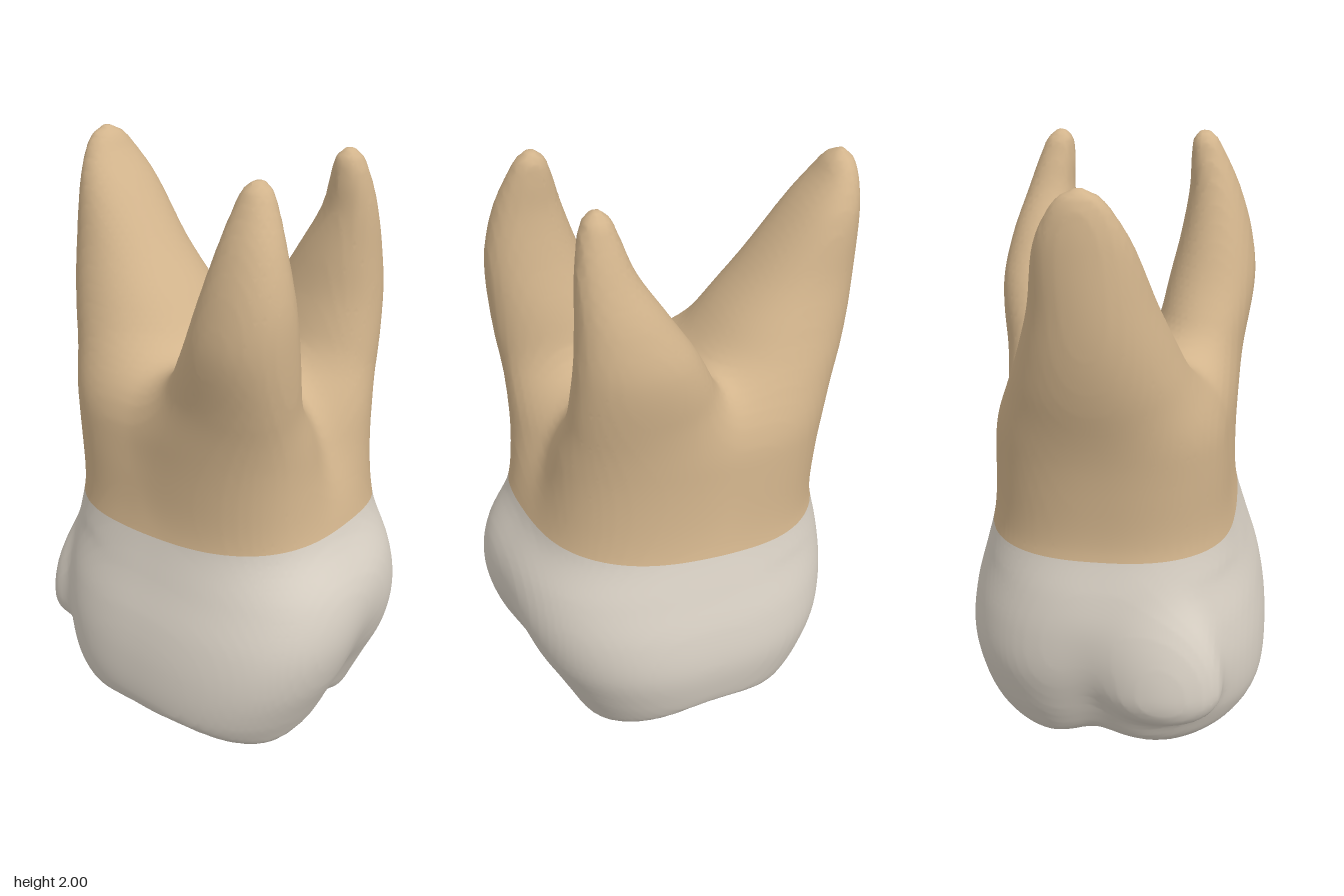
import * as THREE from 'three';

// Blending helpers for the solid field (negative = inside)
const smin = (a, b, k) => { const h = Math.max(k - Math.abs(a - b), 0) / k; return Math.min(a, b) - h * h * k / 4; };
const smax = (a, b, k) => -smin(-a, -b, k);
const gauss = (v, w) => Math.exp(-(v * v) / (w * w));
const rise = (a, b, v) => THREE.MathUtils.smoothstep(v, a, b);

// Cross-section extents by height: [y, xMin, xMax, zMin, zMax]
const BODY = [
  [0, -0.43, 0.41, -0.39, 0.45], [0.1, -0.48, 0.46, -0.44, 0.49], [0.2, -0.515, 0.495, -0.485, 0.535],
  [0.35, -0.515, 0.52, -0.53, 0.6], [0.5, -0.488, 0.505, -0.54, 0.63], [0.65, -0.44, 0.465, -0.525, 0.612],
  [0.82, -0.395, 0.42, -0.49, 0.535], [1.0, -0.375, 0.395, -0.485, 0.495], [1.3, -0.35, 0.37, -0.48, 0.45],
];
const ROOTS = [
  [[0.8, -0.32, 0, -0.05, 0.42], [1.1, -0.37, -0.02, -0.05, 0.465], [1.3, -0.4, -0.085, 0.03, 0.497],
    [1.5, -0.427, -0.13, 0.14, 0.51], [1.65, -0.41, -0.165, 0.2, 0.505], [1.8, -0.365, -0.19, 0.25, 0.47],
    [1.92, -0.31, -0.195, 0.285, 0.42], [1.98, -0.275, -0.205, 0.31, 0.385], [2.0, -0.245, -0.235, 0.345, 0.355]],
  [[0.8, 0, 0.34, -0.12, 0.4], [1.1, 0.02, 0.38, -0.12, 0.42], [1.3, 0.095, 0.415, -0.08, 0.42],
    [1.5, 0.155, 0.435, 0.01, 0.405], [1.65, 0.18, 0.41, 0.105, 0.395], [1.8, 0.2, 0.36, 0.2, 0.385],
    [1.92, 0.2, 0.315, 0.245, 0.365], [1.98, 0.21, 0.285, 0.27, 0.34], [2.0, 0.24, 0.25, 0.3, 0.31]],
  [[0.8, -0.31, 0.33, -0.43, 0], [1.1, -0.32, 0.35, -0.51, 0], [1.3, -0.275, 0.32, -0.58, -0.04],
    [1.45, -0.22, 0.27, -0.615, -0.145], [1.6, -0.165, 0.225, -0.63, -0.265], [1.8, -0.1, 0.19, -0.63, -0.415],
    [1.9, -0.05, 0.145, -0.622, -0.495], [1.95, -0.01, 0.105, -0.608, -0.53], [1.975, 0.035, 0.06, -0.58, -0.565]],
];
// Chewing cusps: [x, tip height, z]
const CUSPS = [[-0.25, 0.03, 0.45], [0.26, -0.01, 0.38], [-0.17, -0.015, -0.25], [0.21, 0.01, -0.3]];

// Smooth interpolation of the extents at one height
function sectionAt(rows, y) {
  const last = rows.length - 1;
  if (y <= rows[0][0]) return rows[0];
  if (y >= rows[last][0]) return rows[last];
  let i = 0;
  while (rows[i + 1][0] < y) i++;
  const a = rows[i], b = rows[i + 1], p = rows[Math.max(i - 1, 0)], q = rows[Math.min(i + 2, last)];
  const d = b[0] - a[0], t = (y - a[0]) / d, t2 = t * t, t3 = t2 * t;
  return a.map((v, c) => {
    const m0 = (b[c] - p[c]) / (b[0] - p[0]) * d, m1 = (q[c] - v) / (q[0] - a[0]) * d;
    return (2 * t3 - 3 * t2 + 1) * v + (t3 - 2 * t2 + t) * m0 + (3 * t2 - 2 * t3) * b[c] + (t3 - t2) * m1;
  });
}

function sectionField([, x0, x1, z0, z1], x, z, n) {
  const rx = Math.max((x1 - x0) / 2, 0.004), rz = Math.max((z1 - z0) / 2, 0.004);
  const u = Math.abs(x - (x0 + x1) / 2) / rx, v = Math.abs(z - (z0 + z1) / 2) / rz;
  return (Math.pow(Math.pow(u, n) + Math.pow(v, n), 1 / n) - 1) * Math.min(rx, rz);
}

// Height of the chewing surface: cusps, rim, and two pits parted by a slanting ridge
function chewingHeight(x, z) {
  let h = 0.135;
  for (const [cx, cy, cz] of CUSPS) {
    const r = Math.hypot(x - cx, z - cz);
    h = smin(h, cy + Math.sqrt(0.2 * r * r + 0.0009) - 0.03, 0.03);
  }
  return h + 0.16 * gauss(x + 0.16, 0.19) * gauss(z - 0.13, 0.24) + 0.11 * gauss(x - 0.24, 0.13) * gauss(z - 0.01, 0.15);
}

// The whole solid; sec holds the body and root sections at height y
function field(x, y, z, sec) {
  const front = rise(0, 0.3, z), back = rise(0, 0.3, -z);
  let d = sectionField(sec[0], x, z + 0.2 * x * Math.max(z, 0), 2.6);
  // Grooves down the crown, and up the trunk between the front roots
  d += 0.04 * gauss(x - 0.06, 0.12) * front * (1 - rise(0.15, 0.65, y));
  d += 0.03 * gauss(x - 0.05, 0.1) * back * (1 - rise(0.15, 0.6, y));
  d += 0.06 * gauss(x - 0.03, 0.13) * front * rise(0.85, 1.25, y);
  // Rounded saddle where the roots part
  d = smax(d, y - 1.31, 0.22);
  ROOTS.forEach((rows, i) => {
    const root = Math.max(sectionField(sec[i + 1], x, z, 2.1), y - rows[rows.length - 1][0], 0.75 - y);
    d = smin(d, root, 0.09);
  });
  // Small extra cusp hanging on the back, drawn out upwards
  const up = y - 0.31;
  const bump = (Math.hypot((x + 0.2) / 0.19, up / (up > 0 ? 0.27 : 0.135), (z + 0.465) / 0.105) - 1) * 0.105;
  d = smin(d, bump, 0.05);
  return smax(d, chewingHeight(x, z) - y, 0.05);
}

// Surface net over a regular grid
function buildSurface() {
  const s = 0.02, min = [-0.64, -0.07, -0.74], n = [65, 108, 75];
  const stride = [1, n[0], n[0] * n[1]];
  const val = new Float32Array(n[0] * n[1] * n[2]);
  for (let j = 0; j < n[1]; j++) {
    const y = min[1] + j * s, sec = [BODY, ...ROOTS].map((rows) => sectionAt(rows, y));
    for (let k = 0; k < n[2]; k++) for (let i = 0; i < n[0]; i++) {
      val[i + j * stride[1] + k * stride[2]] = field(min[0] + i * s, y, min[2] + k * s, sec);
    }
  }
  const ids = new Int32Array(val.length).fill(-1), pos = [], index = [];
  const eachCell = (start, fn) => {
    for (let k = start; k < n[2] - 1; k++) for (let j = start; j < n[1] - 1; j++) for (let i = start; i < n[0] - 1; i++) {
      fn(i + j * stride[1] + k * stride[2], [i, j, k]);
    }
  };
  // One vertex per crossed cell, at the mean of its edge crossings
  eachCell(0, (o, cell) => {
    const sum = [0, 0, 0];
    let count = 0;
    for (let c = 0; c < 8; c++) for (let a = 0; a < 3; a++) {
      if (c & (1 << a)) continue;
      const bits = [c & 1, (c >> 1) & 1, (c >> 2) & 1];
      const p = o + bits[0] + bits[1] * stride[1] + bits[2] * stride[2];
      const v0 = val[p], v1 = val[p + stride[a]];
      if ((v0 < 0) === (v1 < 0)) continue;
      bits[a] = v0 / (v0 - v1);
      bits.forEach((b, m) => { sum[m] += b; });
      count++;
    }
    if (!count) return;
    ids[o] = pos.length / 3;
    cell.forEach((g, m) => pos.push(min[m] + (g + sum[m] / count) * s));
  });
  // One quad per crossed edge
  eachCell(1, (o) => {
    for (let a = 0; a < 3; a++) {
      const inside = val[o] < 0;
      if (inside === (val[o + stride[a]] < 0)) continue;
      const b = stride[(a + 1) % 3], c = stride[(a + 2) % 3];
      const q = [o, o - b, o - b - c, o - c].map((p) => ids[p]);
      if (!inside) q.reverse();
      index.push(q[0], q[1], q[2], q[0], q[2], q[3]);
    }
  });
  const geo = new THREE.BufferGeometry();
  geo.setAttribute('position', new THREE.Float32BufferAttribute(pos, 3));
  geo.setIndex(index);
  geo.computeVertexNormals();
  return geo;
}

// Signed height above the neck line between crown and roots
const aboveNeck = (v) => v[1] - (0.783 + 0.06 * v[2] + 0.1 * v[2] * v[2]);

// Keep the part of the surface on one side of the neck line
function cutAtNeck(geo, side) {
  const P = geo.attributes.position.array, N = geo.attributes.normal.array, idx = geo.index.array;
  const pos = [], nor = [];
  const vertex = (i) => [...P.subarray(i * 3, i * 3 + 3), ...N.subarray(i * 3, i * 3 + 3)];
  for (let t = 0; t < idx.length; t += 3) {
    const tri = [vertex(idx[t]), vertex(idx[t + 1]), vertex(idx[t + 2])], poly = [];
    tri.forEach((a, i) => {
      const b = tri[(i + 1) % 3], da = aboveNeck(a) * side, db = aboveNeck(b) * side;
      if (da >= 0) poly.push(a);
      if ((da >= 0) !== (db >= 0)) poly.push(a.map((v, m) => v + (b[m] - v) * da / (da - db)));
    });
    for (let i = 1; i + 1 < poly.length; i++) for (const v of [poly[0], poly[i], poly[i + 1]]) {
      pos.push(v[0], v[1], v[2]);
      nor.push(v[3], v[4], v[5]);
    }
  }
  const out = new THREE.BufferGeometry();
  out.setAttribute('position', new THREE.Float32BufferAttribute(pos, 3));
  out.setAttribute('normal', new THREE.Float32BufferAttribute(nor, 3));
  out.normalizeNormals();
  return out;
}

export function createModel() {
  const group = new THREE.Group();
  group.name = 'molarTooth';
  const surface = buildSurface();
  const parts = [['crown', 'enamel', 0xd9d1c5, -1], ['roots', 'dentine', 0xd2b48c, 1]];
  for (const [name, colourName, color, side] of parts) {
    const material = new THREE.MeshStandardMaterial({ color });
    material.name = colourName;
    const mesh = new THREE.Mesh(cutAtNeck(surface, side), material);
    mesh.name = name;
    group.add(mesh);
  }
  return group;
}
